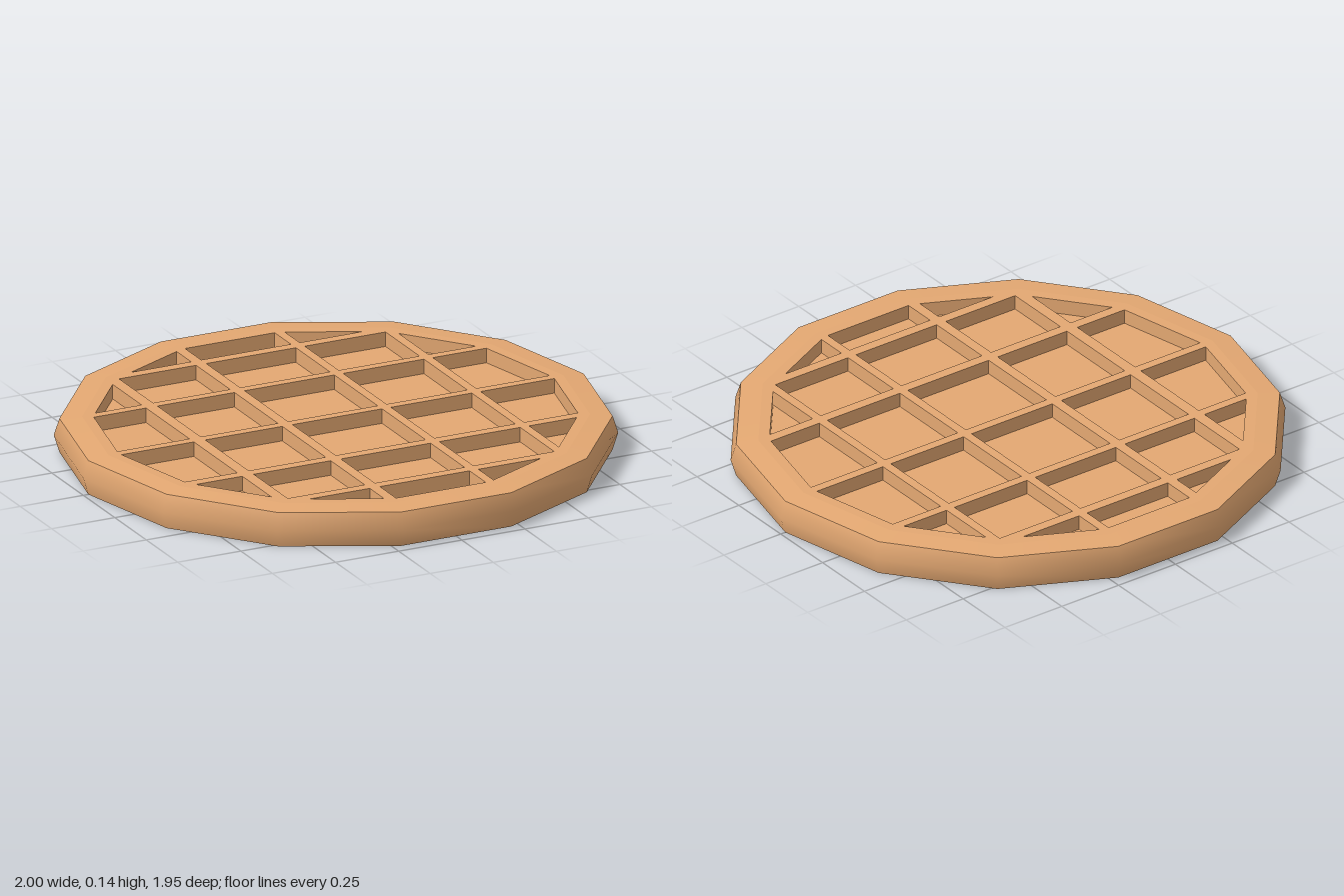
import * as THREE from 'three';

const SIDES = 14;
const TOP = 0.135;
const FLOOR = 0.08;

// Corners of a regular polygon in the ground plane
const ring = (radius) => Array.from({ length: SIDES }, (_, i) => {
  const a = (i / SIDES) * Math.PI * 2;
  return new THREE.Vector2(Math.cos(a) * radius, Math.sin(a) * radius);
});

// Cut a convex polygon down to the part inside another, counter-clockwise one
function clip(poly, border) {
  border.forEach((p, i) => {
    const q = border[(i + 1) % border.length];
    const side = (v) => (q.x - p.x) * (v.y - p.y) - (q.y - p.y) * (v.x - p.x);
    const out = [];
    poly.forEach((a, j) => {
      const b = poly[(j + 1) % poly.length];
      const sa = side(a), sb = side(b);
      if (sa >= 0) out.push(a);
      if (sa * sb < 0) out.push(a.clone().lerp(b, sa / (sa - sb)));
    });
    poly = out;
  });
  return poly;
}

export function createModel() {
  const group = new THREE.Group();
  group.name = 'waffle';
  const batter = new THREE.MeshStandardMaterial({ color: 0xe4a872 });
  batter.name = 'golden batter';

  const add = (name, geometry, y = 0) => {
    const mesh = new THREE.Mesh(geometry, batter);
    mesh.name = name;
    mesh.position.y = y;
    group.add(mesh);
  };
  const lathe = (points) => new THREE.LatheGeometry(
    points.map(([r, y]) => new THREE.Vector2(r, y)), SIDES, Math.PI / 2);

  // Bulging side, gently sloped upper border and flat underside
  add('rim', lathe([[0.98, 0], [1, 0.065], [0.98, 0.128]]));
  add('upperBorder', lathe([[0.98, 0.128], [0.9, TOP]]));
  add('underside', new THREE.CircleGeometry(0.98, SIDES).rotateX(Math.PI / 2));

  // Grid of pockets, trimmed to the round border
  const columns = [[-1, -0.57], [-0.525, -0.22], [-0.18, 0.175], [0.21, 0.53], [0.565, 1]];
  const rows = [[-1, -0.71], [-0.67, -0.4], [-0.365, -0.02], [0.015, 0.36], [0.4, 0.67], [0.71, 1]];
  const border = ring(0.86);
  const grid = new THREE.Shape(ring(0.9));
  for (const [x0, x1] of columns) {
    for (const [z0, z1] of rows) {
      const cell = [[x0, z0], [x1, z0], [x1, z1], [x0, z1]].map(([x, z]) => new THREE.Vector2(x, z));
      const pocket = clip(cell, border);
      if (pocket.length > 2) grid.holes.push(new THREE.Path(pocket));
    }
  }
  const ribs = new THREE.ExtrudeGeometry(grid, { depth: TOP - FLOOR + 0.005, bevelEnabled: false });
  // The shape's start face becomes the top
  add('gridRibs', ribs.rotateX(Math.PI / 2), TOP);
  add('pocketFloor', new THREE.CircleGeometry(0.9, SIDES).rotateX(-Math.PI / 2), FLOOR);

  return group;
}
